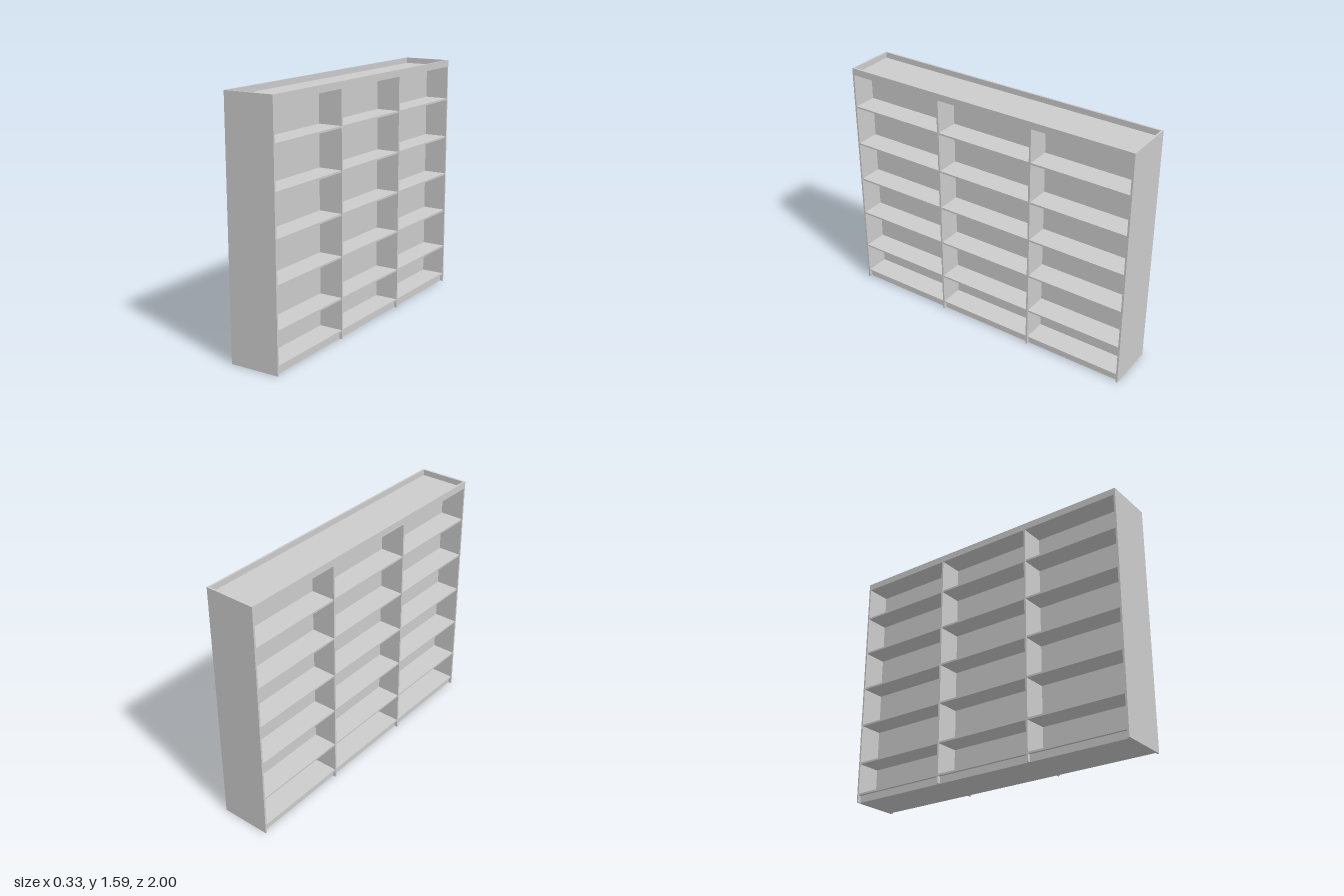
import * as THREE from 'three';

const H = 1.59, D = 0.33, L = 2;      // height, depth (x), length (z)
const T = 0.012;                      // board thickness
const RAIL = 1.545;                   // underside of the top rails
const KICK = 0.047;                   // height of the recessed plinth

export function createModel() {
  const group = new THREE.Group();
  const material = new THREE.MeshStandardMaterial({ color: 0xcccccc, flatShading: true });

  // Board spanning the given x, y and z ranges
  const board = (name, x0, x1, y0, y1, z0, z1) => {
    const mesh = new THREE.Mesh(new THREE.BoxGeometry(x1 - x0, y1 - y0, z1 - z0), material);
    mesh.name = name;
    mesh.position.set((x0 + x1) / 2, (y0 + y1) / 2, (z0 + z1) / 2);
    group.add(mesh);
  };

  const hx = D / 2, hz = L / 2;

  // End panels, full height
  board('endPanelBack', -hx, hx, 0, H, -hz, -hz + T);
  board('endPanelFront', -hx, hx, 0, H, hz - T, hz);

  // Dividers between the three bays
  for (const z of [-L / 6, L / 6]) {
    board('divider', -hx, hx, 0, RAIL, z - T / 2, z + T / 2);
  }

  // Central panel separating the two open sides
  board('centrePanel', -T / 2, T / 2, KICK, RAIL, -hz + T, hz - T);

  // Sunken top board and the rails around it
  board('topBoard', -hx + T, hx - T, RAIL, RAIL + 0.008, -hz + T, hz - T);
  for (const s of [-1, 1]) {
    const xs = [s * hx, s * (hx - T)].sort((a, b) => a - b);
    board('topRail', xs[0], xs[1], RAIL, H, -hz + T, hz - T);
  }

  // Recessed plinth under the bottom shelves
  board('plinth', -hx + 0.02, hx - 0.02, 0, KICK, -hz + T, hz - T);

  // Shelves on both sides of every bay
  const levels = [KICK + T / 2, 0.262, 0.527, 0.791, 1.056, 1.321];
  for (let bay = 0; bay < 3; bay++) {
    const z0 = -hz + (bay * L) / 3 + (bay === 0 ? T : T / 2);
    const z1 = -hz + ((bay + 1) * L) / 3 - (bay === 2 ? T : T / 2);
    for (const y of levels) {
      for (const s of [-1, 1]) {
        const xs = [s * T / 2, s * (hx - 0.003)].sort((a, b) => a - b);
        board('shelf', xs[0], xs[1], y - T / 2, y + T / 2, z0, z1);
      }
    }
  }
  return group;
}
